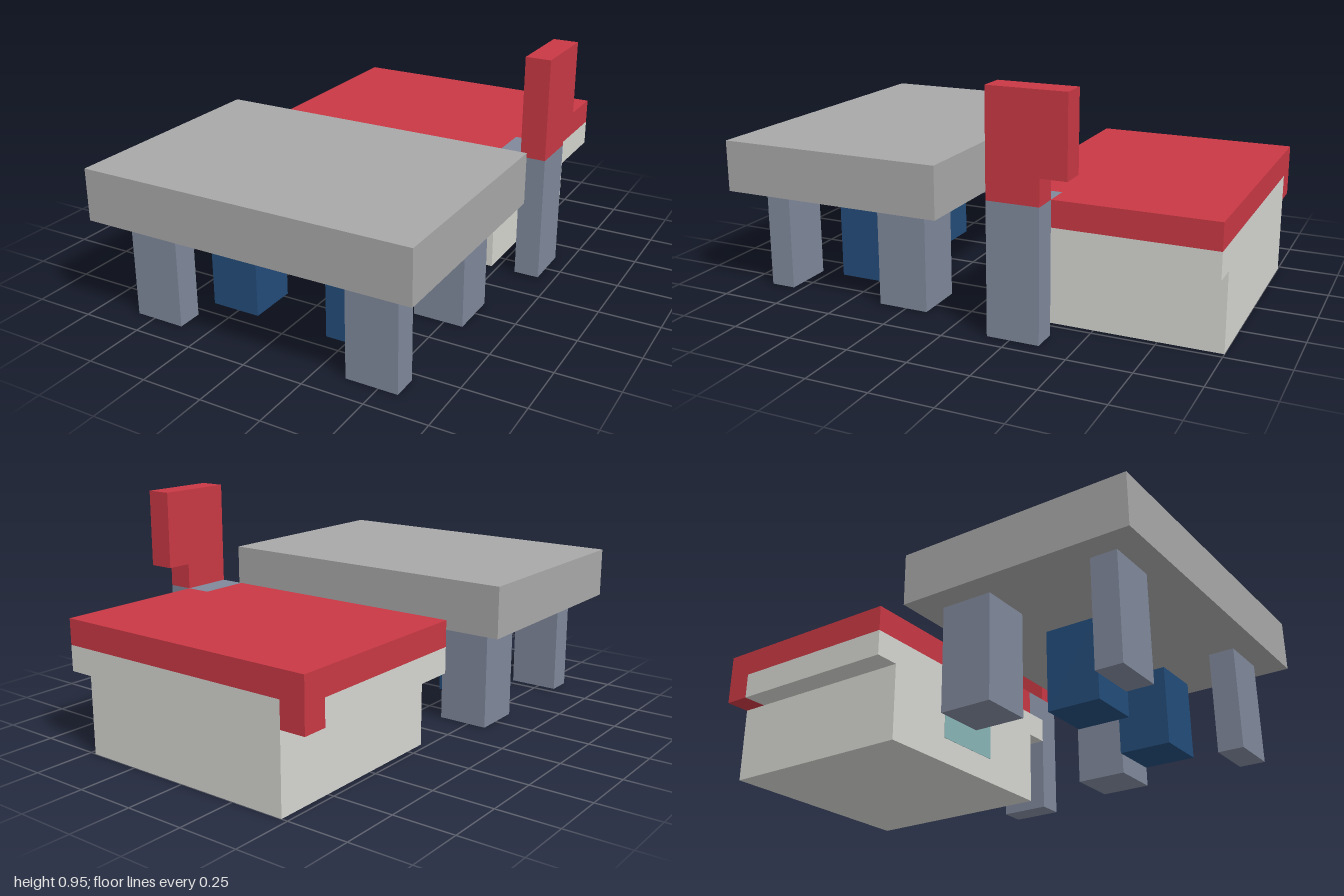
import * as THREE from 'three';

const U = 2 / 19; // one block of the modelling grid

const mat = (color) => new THREE.MeshStandardMaterial({ color });
const stone = mat(0xa8a8a8), slate = mat(0x7f889a), navy = mat(0x234c79);
const red = mat(0xc83844), cream = mat(0xd5d5d0), teal = mat(0x89b5b7);

export function createModel() {
  const model = new THREE.Group();

  const add = (parent, name, geometry, material) => {
    const mesh = new THREE.Mesh(geometry.scale(U, U, U), material);
    mesh.name = name;
    parent.add(mesh);
  };

  // Block between two corners, in grid units
  const block = (parent, name, material, [x0, y0, z0], [x1, y1, z1]) =>
    add(parent, name, new THREE.BoxGeometry(x1 - x0, y1 - y0, z1 - z0)
      .translate((x0 + x1) / 2, (y0 + y1) / 2, (z0 + z1) / 2), material);

  // Upright prism over an (x, z) outline
  const prism = (parent, name, material, outline, y0, y1) => {
    const shape = new THREE.Shape(outline.map(([x, z]) => new THREE.Vector2(x, -z)));
    add(parent, name, new THREE.ExtrudeGeometry(shape, { depth: y1 - y0, bevelEnabled: false })
      .rotateX(-Math.PI / 2).translate(0, y0, 0), material);
  };

  const group = (name) => {
    const g = new THREE.Group();
    g.name = name;
    model.add(g);
    return g;
  };

  // Table top, thin front legs and square back legs
  const table = group('table');
  block(table, 'tableTop', stone, [-6.5, 4, 0.5], [6.5, 6, 9.5]);
  for (const [side, x] of [['right', -5.5], ['left', 3.5]]) {
    block(table, side + 'FrontLeg', slate, [x, 0, 7.5], [x + 2, 4, 8.5]);
    block(table, side + 'BackLeg', slate, [x, 0, 1.5], [x + 2, 4, 3.5]);
  }

  // Pair of short blocks beneath the table
  const feet = group('blueBlocks');
  block(feet, 'rightBlueBlock', navy, [-3.5, 0, 4.5], [-1.5, 3, 6.5]);
  block(feet, 'leftBlueBlock', navy, [1.5, 0, 4.5], [3.5, 3, 6.5]);

  // Rear body with overhanging slab and front panel
  const body = group('rearBody');
  block(body, 'base', cream, [-4.5, 0, -9.5], [4.5, 3, -1.5]);
  block(body, 'frontPanel', teal, [-1.5, 1, -1.6], [1.5, 3, -1.48]);
  prism(body, 'slab', cream,
    [[-5.5, -1.5], [5.5, -1.5], [5.5, -9.5], [-4.5, -9.5], [-4.5, -8.5], [-5.5, -8.5]], 3, 4);

  // Red cover, notched at the post, with one hanging corner
  prism(body, 'cover', red,
    [[-5.5, -1.5], [4.5, -1.5], [4.5, -3.5], [5.5, -3.5], [5.5, -9.5], [-5.5, -9.5]], 4, 5);
  block(body, 'coverCorner', red, [-5.5, 3, -9.5], [-4.5, 4, -8.5]);

  // Upright post: grey stem joined to the body, red head hooked to the back
  const post = group('post');
  block(post, 'stem', slate, [5.5, 0, -3.5], [6.5, 5, -1.5]);
  block(post, 'stemJoint', slate, [4.5, 4, -3.5], [5.5, 5, -1.5]);
  const head = new THREE.Shape([[1.5, 5], [3.5, 5], [3.5, 6], [4.5, 6], [4.5, 9], [1.5, 9]]
    .map(([back, y]) => new THREE.Vector2(back, y)));
  add(post, 'head', new THREE.ExtrudeGeometry(head, { depth: 1, bevelEnabled: false })
    .rotateY(Math.PI / 2).translate(5.5, 0, 0), red);

  return model;
}
